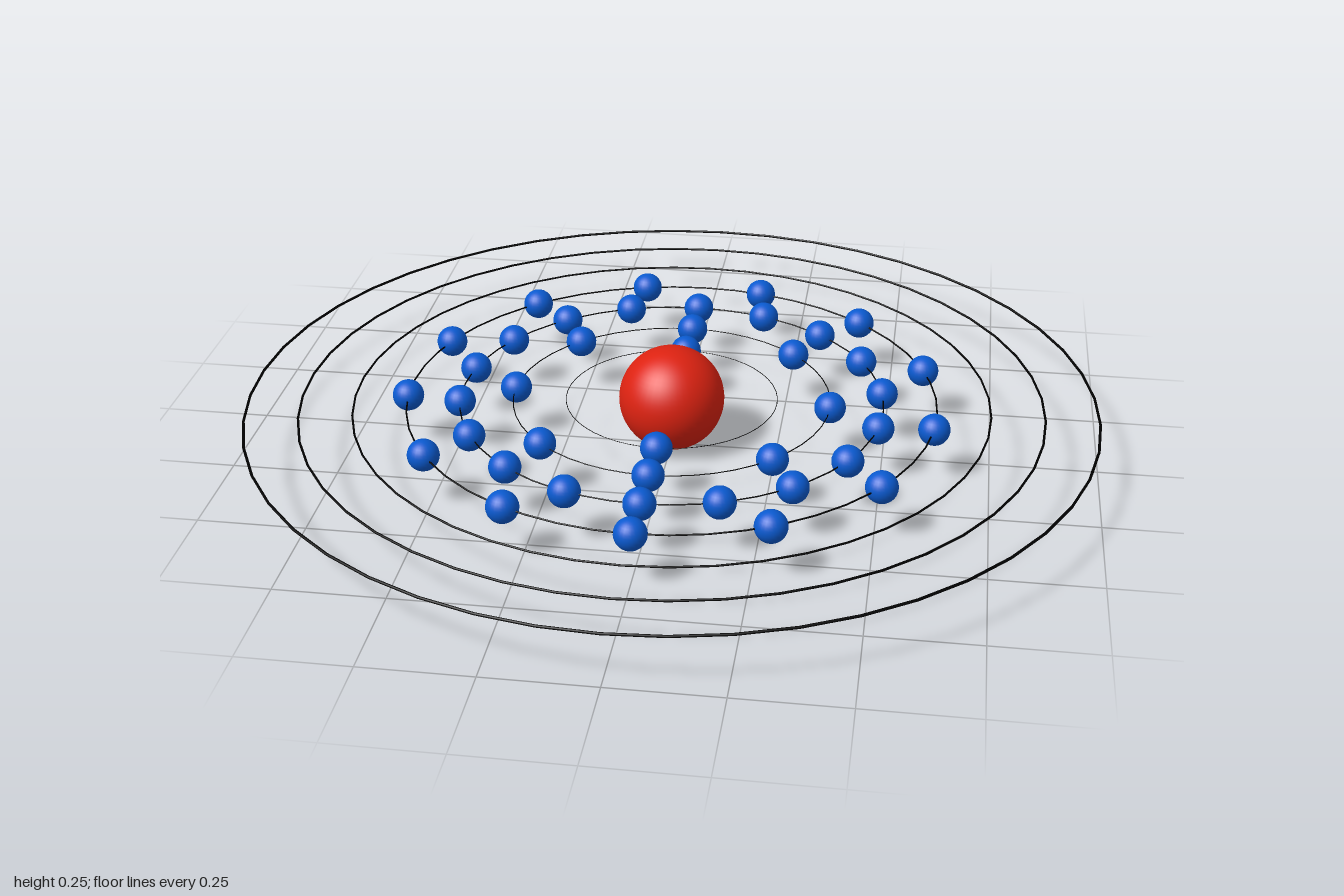
import * as THREE from 'three';

const CENTER_Y = 0.125;

function material(color) {
  return new THREE.MeshStandardMaterial({ color });
}

export function createModel() {
  const model = new THREE.Group();
  model.name = 'atomModel';

  // Central nucleus
  const nucleus = new THREE.Mesh(new THREE.SphereGeometry(0.124, 48, 32), material(0xdd2211));
  nucleus.name = 'nucleus';
  nucleus.position.y = CENTER_Y;
  model.add(nucleus);

  // Seven thin orbit rings, the inner ones finer, with evenly spaced electrons
  const electronCounts = [2, 8, 18, 13, 0, 0, 0];
  const electronGeometry = new THREE.SphereGeometry(0.037, 24, 16);
  const electronMaterial = material(0x0a5ad0);
  const ringMaterial = material(0x000000);

  electronCounts.forEach((count, i) => {
    const radius = 0.249 + i * 0.1245;
    const shell = new THREE.Group();
    shell.name = `shell${i + 1}`;
    shell.position.y = CENTER_Y;

    const ring = new THREE.Mesh(
      new THREE.TorusGeometry(radius, 0.0032 * radius, 8, 48),
      ringMaterial
    );
    ring.name = 'orbitRing';
    ring.rotation.x = Math.PI / 2;
    shell.add(ring);

    for (let k = 0; k < count; k++) {
      const angle = (k / count) * Math.PI * 2;
      const electron = new THREE.Mesh(electronGeometry, electronMaterial);
      electron.name = 'electron';
      electron.position.set(Math.sin(angle) * radius, 0, Math.cos(angle) * radius);
      shell.add(electron);
    }
    model.add(shell);
  });

  return model;
}
